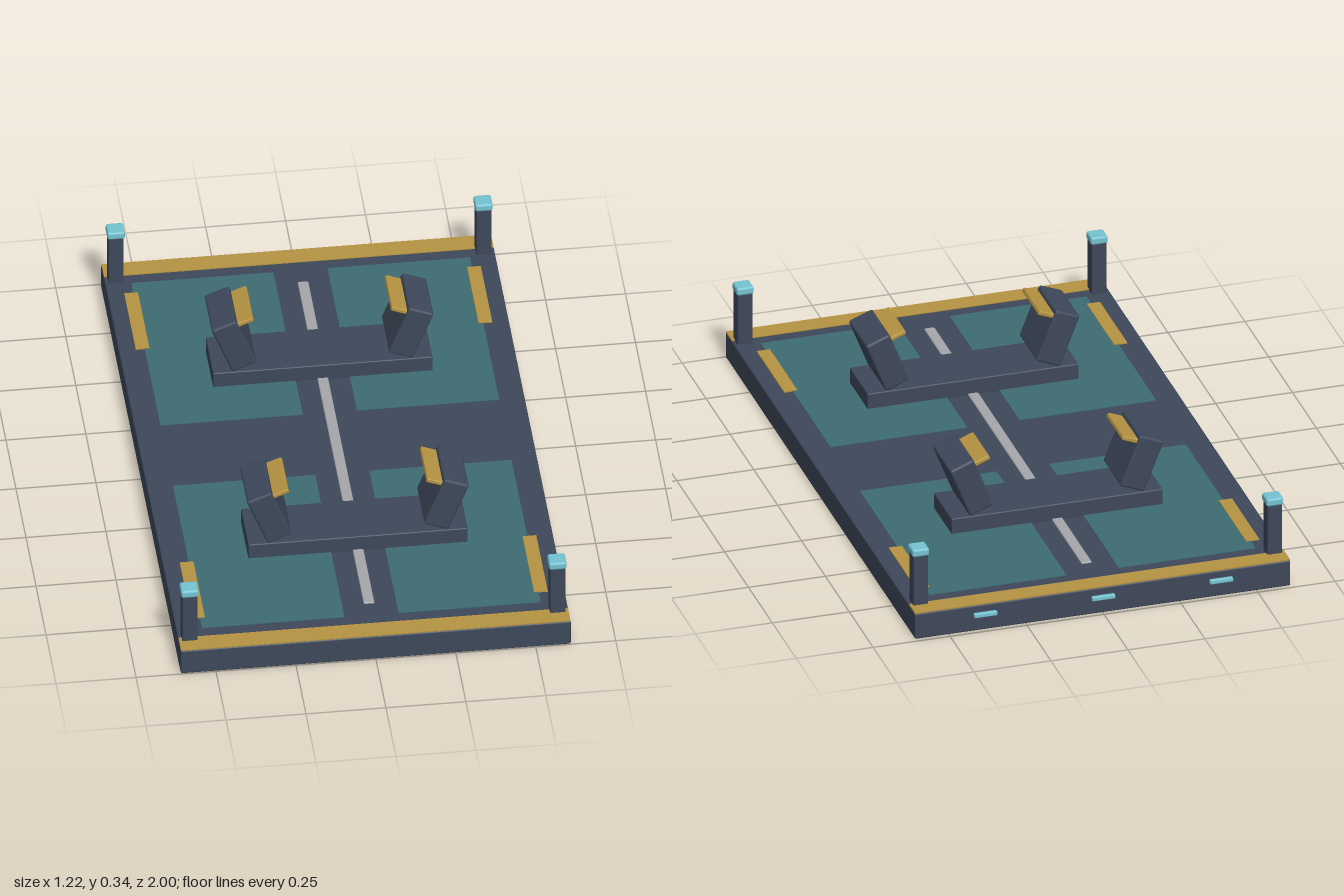
import * as THREE from 'three';
import { RoundedBoxGeometry } from 'three/addons/geometries/RoundedBoxGeometry.js';

const material = (name, color) => {
  const m = new THREE.MeshStandardMaterial({ color });
  m.name = name;
  return m;
};

export function createModel() {
  const slate = material('slate', 0x3e485a);
  const teal = material('teal', 0x3d6b72);
  const ochre = material('ochre', 0xb59341);
  const cyan = material('cyan', 0x74c3d2);
  const steel = material('steel', 0xa4a6aa);

  const model = new THREE.Group();
  model.name = 'dockingPlatform';

  // Box with optional rounded edges, given by size and centre
  const box = (parent, name, mat, [w, h, d], [x, y, z], radius = 0) => {
    const geometry = radius
      ? new RoundedBoxGeometry(w, h, d, 2, radius)
      : new THREE.BoxGeometry(w, h, d);
    const mesh = new THREE.Mesh(geometry, mat);
    mesh.name = name;
    mesh.position.set(x, y, z);
    parent.add(mesh);
    return mesh;
  };

  // Deck, shifted forward to leave room for the rear lamps
  const top = 0.088;
  const mid = 0.006;
  box(model, 'deck', slate, [1.22, top, 1.987], [0, top / 2, mid], 0.005);
  box(model, 'centreRail', steel, [0.034, 0.012, 1.65], [0, top - 0.001, mid], 0.004);

  for (const sz of [-1, 1]) {
    box(model, 'endStripe', ochre, [1.218, 0.006, 0.064], [0, top, mid + sz * 0.959]);

    for (const sx of [-1, 1]) {
      box(model, 'floorPanel', teal, [0.445, 0.004, 0.73], [sx * 0.307, top, mid + sz * 0.52]);
      box(model, 'sideStripe', ochre, [0.043, 0.006, 0.286], [sx * 0.536, top + 0.001, mid + sz * 0.691]);

      // Corner post with a glowing cap
      const post = new THREE.Group();
      post.name = 'cornerPost';
      post.position.set(sx * 0.575, 0, 0.008 + sz * 0.92);
      box(post, 'postShaft', slate, [0.048, 0.18, 0.048], [0, 0.172, 0], 0.004);
      box(post, 'postCap', cyan, [0.055, 0.026, 0.055], [0, 0.272, 0], 0.007);
      model.add(post);
    }
  }

  // Two cradles: a cross beam with a pair of arms leaning outwards
  for (const z of [-0.416, 0.464]) {
    const cradle = new THREE.Group();
    cradle.name = 'cradle';
    cradle.position.z = z;
    box(cradle, 'crossBeam', slate, [0.686, 0.056, 0.188], [0, 0.114, 0], 0.004);
    for (const sx of [-1, 1]) {
      const arm = new THREE.Group();
      arm.name = 'cradleArm';
      arm.position.set(sx * 0.277, 0.239, 0);
      arm.rotation.z = -sx * 0.376;
      box(arm, 'armBlock', slate, [0.083, 0.18, 0.188], [0, 0, 0], 0.008);
      box(arm, 'gripPad', ochre, [0.06, 0.016, 0.17], [-sx * 0.062, 0.066, 0], 0.005);
      model.add(cradle);
      cradle.add(arm);
    }
  }

  // Lamps along the rear edge
  for (const x of [-0.383, 0, 0.383]) {
    box(model, 'rearLamp', cyan, [0.075, 0.014, 0.016], [x, 0.056, -0.992], 0.003);
  }

  return model;
}
